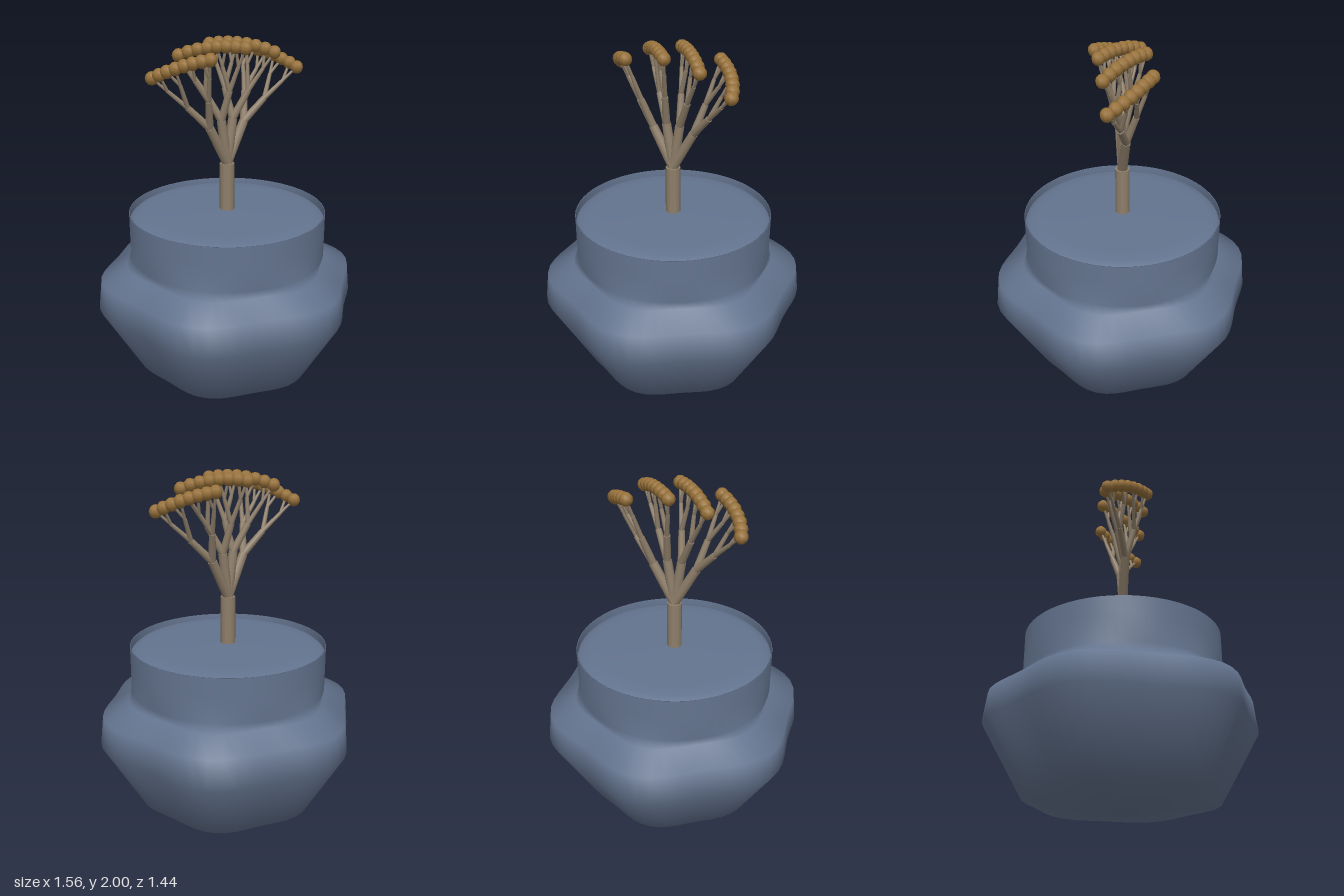
import * as THREE from 'three';
import { mergeVertices } from 'three/addons/utils/BufferGeometryUtils.js';

const material = (name, color) => {
  const m = new THREE.MeshStandardMaterial({ color });
  m.name = name;
  return m;
};

export function createModel() {
  const glaze = material('slate blue', 0x64748f);
  const bark = material('bark', 0x8f7f6a);
  const foliage = material('ochre', 0x97713a);
  glaze.side = THREE.DoubleSide;

  const model = new THREE.Group();
  model.name = 'pottedTree';
  const add = (parent, name, geometry, mat) => {
    const mesh = new THREE.Mesh(geometry, mat);
    mesh.name = name;
    parent.add(mesh);
    return mesh;
  };
  const lathe = (pts) => new THREE.LatheGeometry(pts.map(([r, y]) => new THREE.Vector2(r, y)), 60);

  // Pot: a turned profile [radius, height, lobe depth], pushed out into six soft lobes
  const profile = [
    [0, 0, 0], [0.525, 0.06, 0.02], [0.745, 0.46, 0.033], [0.728, 0.63, 0.03],
    [0.58, 0.70, 0.02], [0.573, 0.75, 0], [0.573, 0.9, 0], [0.573, 1.01, 0],
  ];
  let pot = lathe(profile);
  const p = pot.attributes.position;
  for (let i = 0; i < p.count; i++) {
    const [r, , lobe] = profile[i % profile.length];
    if (r === 0) continue;
    const a = Math.atan2(p.getZ(i), p.getX(i));
    const s = (r + lobe * Math.cos(6 * a)) / r;
    p.setX(i, p.getX(i) * s);
    p.setZ(i, p.getZ(i) * s);
  }
  pot.deleteAttribute('uv');
  pot.deleteAttribute('normal');
  pot = mergeVertices(pot, 1e-4);
  pot.computeVertexNormals();
  add(model, 'pot', pot, glaze);

  // Thin rim lining and the gently domed filling
  add(model, 'rim', lathe([[0.573, 1.01], [0.568, 1.01], [0.568, 0.96]]), glaze);
  add(model, 'filling', lathe([[0.568, 0.965], [0.545, 0.985], [0.5, 1], [0.42, 1.006], [0, 1.012]]), glaze);

  // Tree
  const tree = new THREE.Group();
  tree.name = 'tree';
  model.add(tree);
  const fork = new THREE.Vector3(0, 1.29, 0);
  const up = new THREE.Vector3(0, 1, 0);
  const limb = (name, from, to, r0, r1) => {
    const dir = to.clone().sub(from);
    const m = add(tree, name, new THREE.CylinderGeometry(r1, r0, dir.length(), 10), bark);
    m.position.copy(from).add(to).multiplyScalar(0.5);
    m.quaternion.setFromUnitVectors(up, dir.normalize());
  };
  limb('trunk', new THREE.Vector3(0, 0.97, 0), fork, 0.043, 0.043);

  // Each branch aims at the middle of its tips, then splits in two until every tip has its own twig
  const reach = 0.677;
  const levels = [
    { name: 'branch', at: 0.26, r0: 0.029, r1: 0.026 },
    { name: 'smallBranch', at: 0.43, r0: 0.022, r1: 0.018 },
    { name: 'twig', at: 0.57, r0: 0.014, r1: 0.011 },
    { name: 'smallTwig', at: reach, r0: 0.009, r1: 0.007 },
  ];
  const grow = (from, tips, depth) => {
    const { name, at, r0, r1 } = levels[depth];
    const end = new THREE.Vector3();
    tips.forEach((t) => end.add(t));
    end.normalize().multiplyScalar(at).add(fork);
    limb(name, from, end, r0, r1);
    if (tips.length === 1) return;
    const half = tips.length / 2;
    grow(end, tips.slice(0, half), depth + 1);
    grow(end, tips.slice(half), depth + 1);
  };

  // Four rows of eight leaf balls on a sphere about the fork; [x, z] start, middle, end
  const rows = [
    [[0.15, -0.205], [0.34, -0.155], [0.43, -0.05]],
    [[-0.07, -0.11], [0.1, -0.05], [0.265, 0.025]],
  ];
  const ball = new THREE.SphereGeometry(0.038, 8, 6);
  for (const side of [1, -1]) {
    for (const row of rows) {
      const curve = new THREE.QuadraticBezierCurve(...row.map(([x, z]) => new THREE.Vector2(x * side, z * side)));
      const tips = curve.getSpacedPoints(7).map(({ x, y: z }) =>
        new THREE.Vector3(x, Math.sqrt(reach * reach - x * x - z * z), z));
      grow(fork, tips, 0);
      tips.forEach((t) => add(tree, 'leafBall', ball, foliage).position.copy(t).add(fork));
    }
  }
  return model;
}
